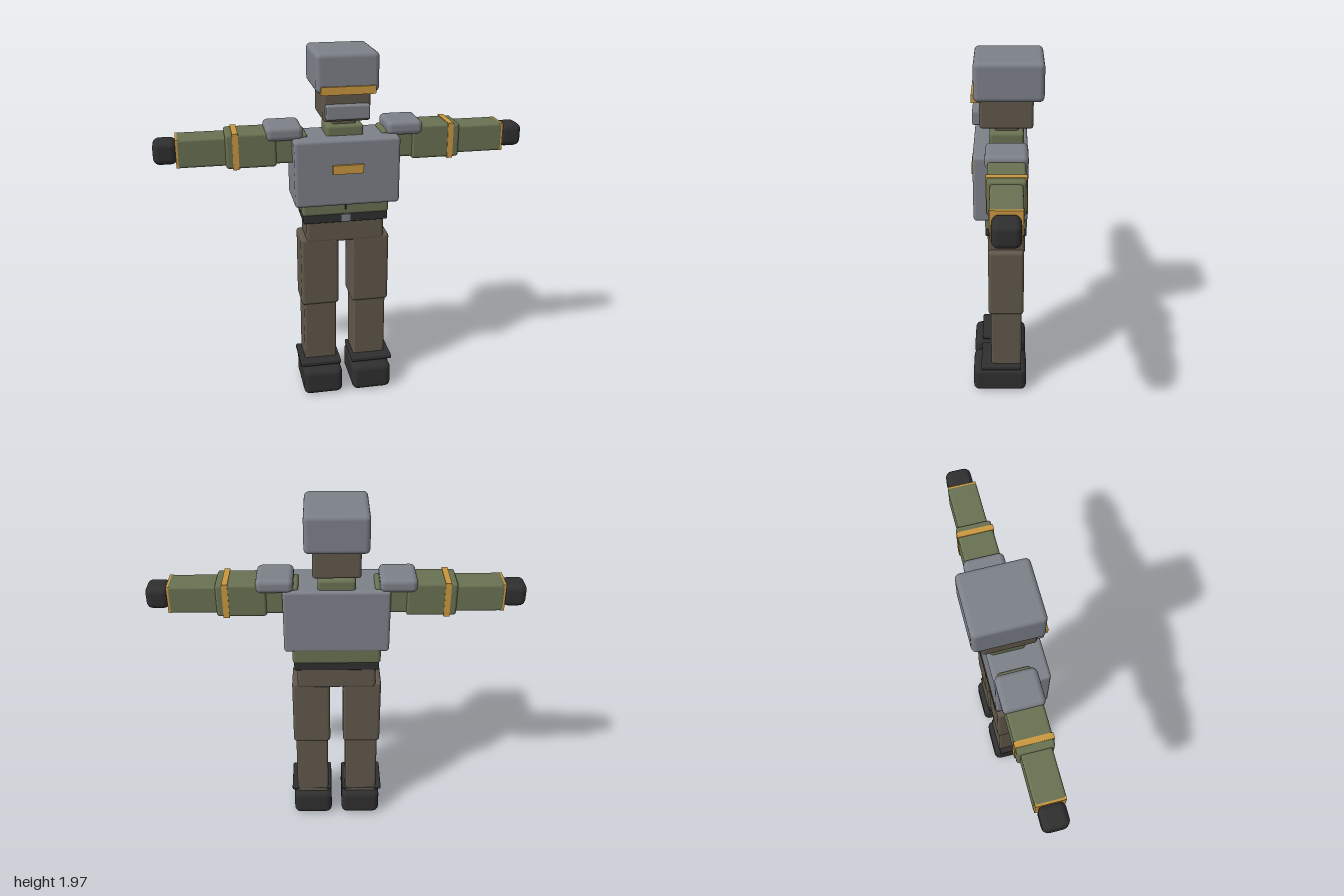
import * as THREE from 'three';
import { RoundedBoxGeometry } from 'three/addons/geometries/RoundedBoxGeometry.js';

const paint = (name, color) => {
  const material = new THREE.MeshStandardMaterial({ color });
  material.name = name;
  return material;
};

export function createModel() {
  const armour = paint('armour grey', 0x7c8088);
  const olive = paint('olive cloth', 0x697152);
  const brown = paint('brown cloth', 0x5f574a);
  const black = paint('black leather', 0x2f2f30);
  const gold = paint('gold trim', 0xc9973f);

  const model = new THREE.Group();
  model.name = 'soldier';

  // Box between two corners; a radius rounds its edges
  const box = (parent, name, material, [x0, x1], [y0, y1], [z0, z1], radius = 0) => {
    const size = [x1 - x0, y1 - y0, z1 - z0];
    const geometry = radius
      ? new RoundedBoxGeometry(...size, 3, radius)
      : new THREE.BoxGeometry(...size);
    const mesh = new THREE.Mesh(geometry, material);
    mesh.name = name;
    mesh.position.set((x0 + x1) / 2, (y0 + y1) / 2, (z0 + z1) / 2);
    parent.add(mesh);
  };
  const group = (name) => {
    const g = new THREE.Group();
    g.name = name;
    model.add(g);
    return g;
  };

  // Head
  const head = group('head');
  box(head, 'helmet', armour, [-0.165, 0.165], [1.765, 1.97], [-0.19, 0.168], 0.026);
  box(head, 'helmetBand', gold, [-0.143, 0.143], [1.76, 1.802], [0.13, 0.18]);
  box(head, 'face', brown, [-0.125, 0.125], [1.61, 1.85], [-0.137, 0.14], 0.016);
  box(head, 'jawGuard', armour, [-0.115, 0.115], [1.628, 1.705], [0.12, 0.177], 0.01);
  box(head, 'neck', brown, [-0.062, 0.062], [1.54, 1.64], [-0.062, 0.062], 0.01);

  // Torso
  const torso = group('torso');
  box(torso, 'collar', olive, [-0.1, 0.1], [1.5, 1.58], [-0.09, 0.09], 0.018);
  box(torso, 'jacket', olive, [-0.24, 0.24], [1.08, 1.5], [-0.108, 0.115], 0.02);
  box(torso, 'jacketZip', black, [-0.005, 0.005], [1.115, 1.2], [0.11, 0.121]);
  box(torso, 'chestArmour', armour, [-0.283, 0.283], [1.158, 1.523], [-0.11, 0.173], 0.018);
  box(torso, 'chestBadge', gold, [-0.083, 0.083], [1.34, 1.388], [0.165, 0.187]);
  box(torso, 'belt', black, [-0.232, 0.232], [1.04, 1.092], [-0.106, 0.113], 0.008);
  box(torso, 'buckle', armour, [-0.028, 0.028], [1.046, 1.088], [0.1, 0.121]);
  box(torso, 'hips', brown, [-0.216, 0.216], [0.92, 1.06], [-0.1, 0.102], 0.018);

  // Arms and legs, mirrored
  for (const [side, s] of [['left', 1], ['right', -1]]) {
    const span = (a, b) => (s > 0 ? [a, b] : [-b, -a]);

    const arm = group(side + 'Arm');
    box(arm, 'shoulderPad', armour, span(0.225, 0.42), [1.51, 1.588], [-0.108, 0.108], 0.028);
    box(arm, 'shoulder', olive, span(0.2, 0.42), [1.384, 1.54], [-0.085, 0.085], 0.016);
    box(arm, 'upperArm', olive, span(0.365, 0.63), [1.372, 1.558], [-0.094, 0.094], 0.016);
    box(arm, 'armBand', gold, span(0.563, 0.594), [1.368, 1.562], [-0.098, 0.098]);
    box(arm, 'forearm', olive, span(0.615, 0.88), [1.387, 1.541], [-0.078, 0.078], 0.014);
    box(arm, 'wristBand', gold, span(0.863, 0.884), [1.389, 1.539], [-0.076, 0.076]);
    box(arm, 'glove', black, span(0.875, 1), [1.402, 1.528], [-0.068, 0.068], 0.035);

    const leg = group(side + 'Leg');
    box(leg, 'thigh', brown, span(0.037, 0.248), [0.54, 0.947], [-0.095, 0.101], 0.018);
    box(leg, 'shin', brown, span(0.05, 0.235), [0.13, 0.55], [-0.085, 0.089], 0.014);
    box(leg, 'bootCuff', black, span(0.032, 0.267), [0.165, 0.192], [-0.085, 0.147], 0.008);
    box(leg, 'boot', black, span(0.03, 0.255), [0, 0.158], [-0.115, 0.193], 0.034);
  }

  return model;
}
